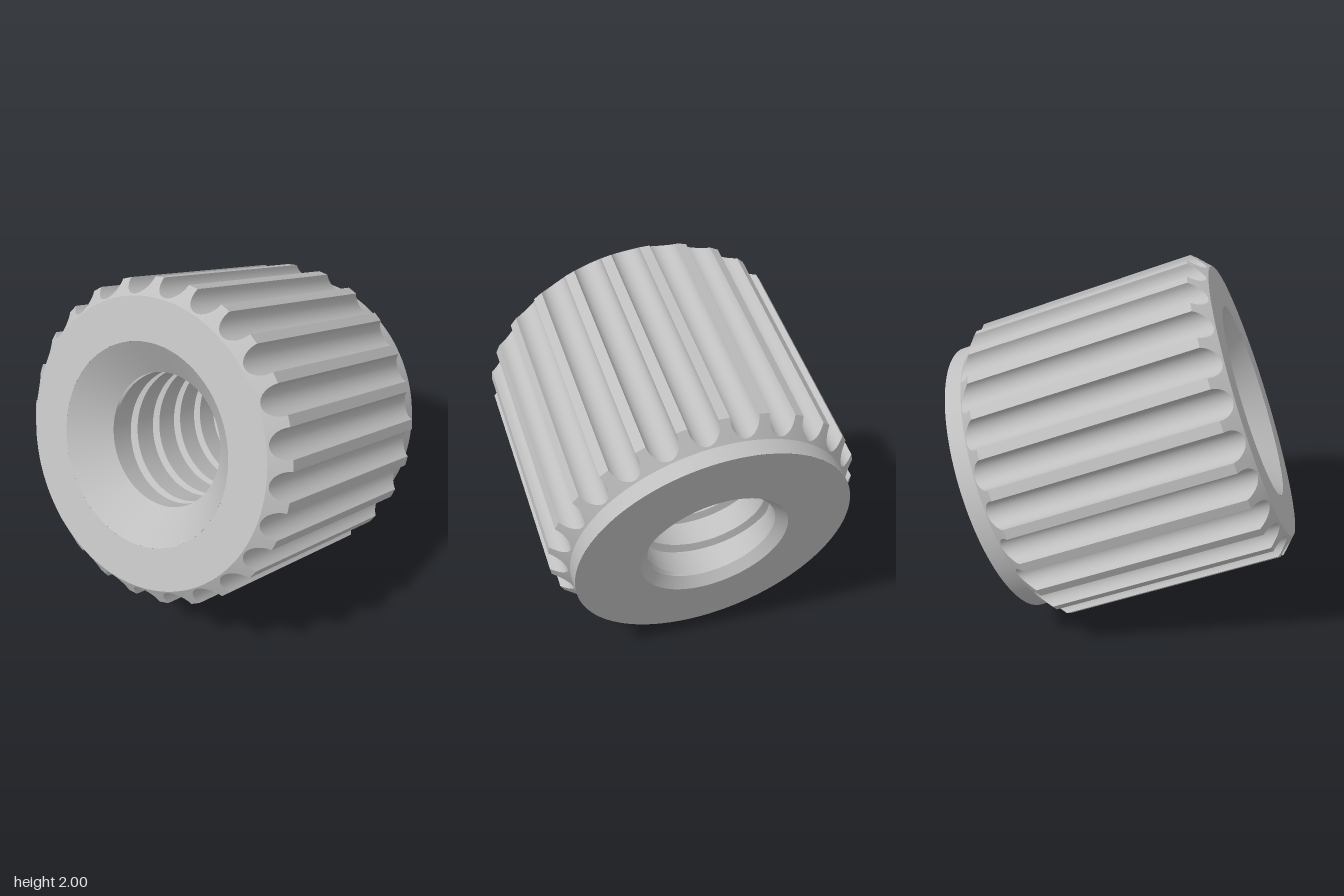
import * as THREE from 'three';
import { toCreasedNormals } from 'three/addons/utils/BufferGeometryUtils.js';

const TAU = Math.PI * 2;
const HALF = 0.73;          // half length along the axis
const FACE_R = 0.755;       // end face radius
const FLUTES = 25, FLUTE_R = 0.078, FLUTE_C = 0.842;
const BORE_R = 0.354, SINK_R = 0.53, BACK_R = 0.405;
const SINK_T = HALF - (SINK_R - BORE_R), BACK_T = -HALF + (BACK_R - BORE_R);

// Sweep a profile around z; at(theta, j, i) returns [radius, z] of profile point j.
function sweep(angles, count, at) {
  const pos = [], index = [];
  angles.forEach((a, i) => {
    for (let j = 0; j < count; j++) {
      const [r, z] = at(a, j, i);
      pos.push(r * Math.cos(a), r * Math.sin(a), z);
    }
  });
  for (let i = 0; i < angles.length - 1; i++) {
    for (let j = 0; j < count - 1; j++) {
      const a = i * count + j, b = a + count;
      index.push(a, a + 1, b, b, a + 1, b + 1);
    }
  }
  const g = new THREE.BufferGeometry();
  g.setAttribute('position', new THREE.Float32BufferAttribute(pos, 3));
  g.setIndex(index);
  return toCreasedNormals(g, 0.5);
}

const ring = (n) => Array.from({ length: n + 1 }, (_, i) => (i / n) * TAU);

// Outer shell: round flutes that run out through the end chamfers
function shellGeometry() {
  const angles = [], radii = [];
  const start = THREE.MathUtils.degToRad(-92), steps = 14;
  for (let f = 0; f <= FLUTES; f++) {
    for (let s = 0; s <= steps; s++) {
      const p = (s / steps - 0.5) * Math.PI;
      const x = FLUTE_C - FLUTE_R * Math.cos(p), y = FLUTE_R * Math.sin(p);
      angles.push(start + (f / FLUTES) * TAU + Math.atan2(y, x));
      radii.push(Math.hypot(x, y));
      if (f === FLUTES) break;
    }
  }
  return sweep(angles, 6, (a, j, i) => {
    const r = radii[i], cut = (r - FACE_R) * 0.94;
    return [
      [SINK_R, HALF], [FACE_R, HALF], [r, HALF - cut],
      [r, -0.64 + cut], [FACE_R, -0.64], [FACE_R, -HALF],
    ][j];
  });
}

// Helical thread groove that fades out at both ends of the bore
function threadGeometry() {
  const pitch = 0.187, turns = 9, depth = 0.045;
  const cuts = [0, 0.1, 0.2, 0.3, 0.5, 0.75];
  const groove = [0, 1, 1, 0, 0, 0];
  return sweep(ring(96), turns * cuts.length, (a, j) => {
    const k = Math.floor(j / cuts.length), c = j % cuts.length;
    const raw = BACK_T + pitch * (k - 1 + cuts[c] + a / TAU);
    const t = THREE.MathUtils.clamp(raw, BACK_T, SINK_T);
    const fade = Math.min(1, (t - BACK_T) / 0.02, (SINK_T - t) / 0.02);
    return [BORE_R + depth * groove[c] * fade, t];
  });
}

export function createModel() {
  const steel = new THREE.MeshStandardMaterial({ color: 0xbfbfbf });
  steel.name = 'steel grey';
  const group = new THREE.Group();
  group.name = 'threadedInsert';
  const add = (name, geometry) => {
    const mesh = new THREE.Mesh(geometry, steel);
    mesh.name = name;
    group.add(mesh);
  };
  const lathe = (points) => sweep(ring(96), points.length, (a, j) => points[j]);

  add('flutedShell', shellGeometry());
  add('backFace', lathe([[FACE_R, -HALF], [BACK_R, -HALF]]));
  add('backBoreChamfer', lathe([[BACK_R, -HALF], [BORE_R, BACK_T]]));
  add('thread', threadGeometry());
  add('frontCountersink', lathe([[BORE_R, SINK_T], [SINK_R, HALF]]));

  // Lean the axis: front end up and slightly to the left
  const axis = new THREE.Vector3(0.085, 0.353, 0.931).normalize();
  const side = new THREE.Vector3(0, 1, 0).cross(axis).normalize();
  const up = axis.clone().cross(side);
  group.quaternion.setFromRotationMatrix(new THREE.Matrix4().makeBasis(side, up, axis));
  group.position.y = 0.99;

  const model = new THREE.Group();
  model.name = 'model';
  model.add(group);
  return model;
}
